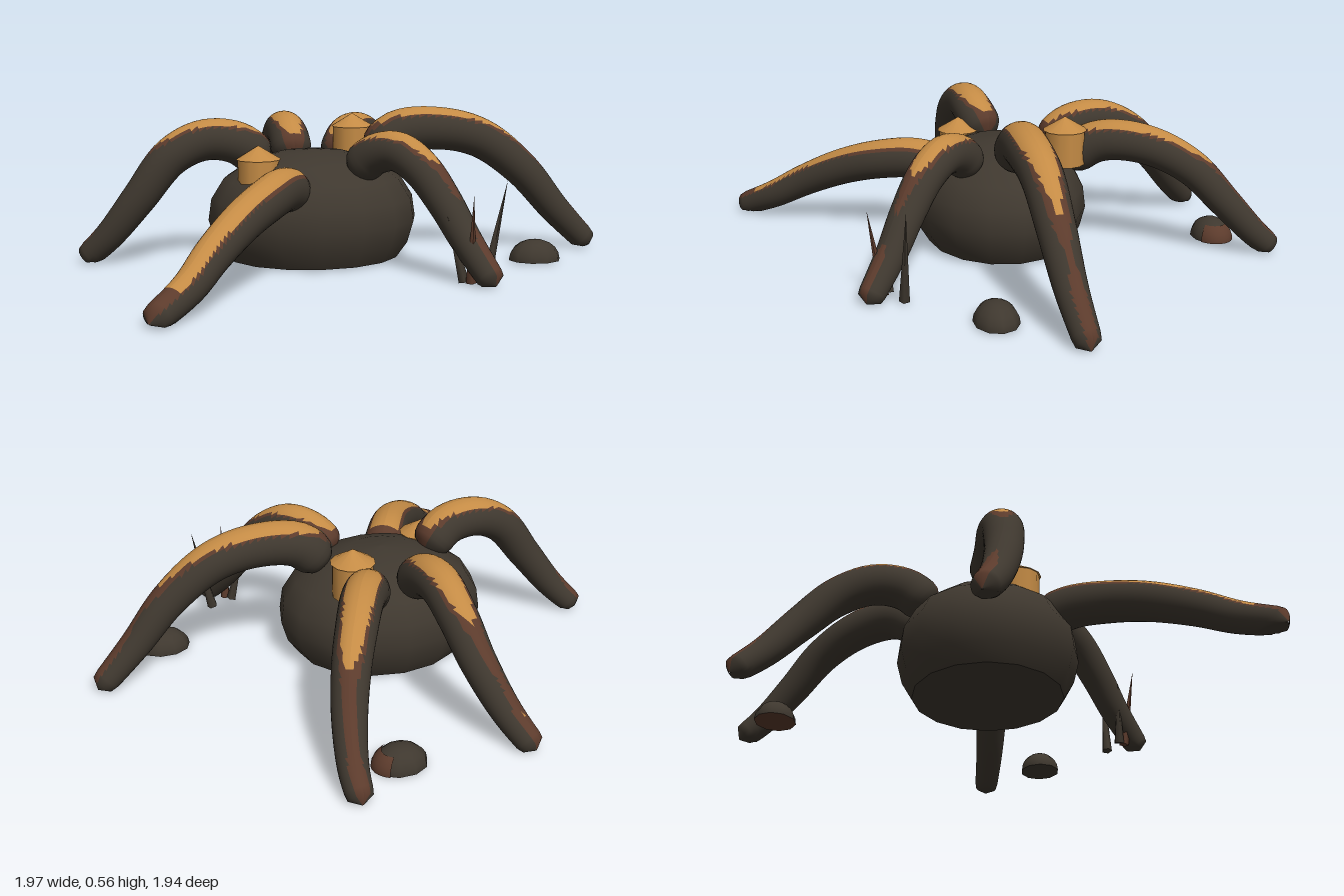
import * as THREE from 'three';

const mat = (name, color) => {
  const m = new THREE.MeshStandardMaterial({ color });
  m.name = name;
  return m;
};

// Quarter-circle falloff: 1 at u = 0, 0 at u = 1
const dome = u => Math.sqrt(1 - THREE.MathUtils.clamp(u, 0, 1) ** 2);

export function createModel() {
  const group = new THREE.Group();
  const dark = mat('darkStone', 0x3f382f);
  const brown = mat('rustBrown', 0x5c3b2c);
  const ochre = mat('ochre', 0xc48b45);

  const add = (name, geo, material, x = 0, y = 0, z = 0) => {
    const mesh = new THREE.Mesh(geo, material);
    mesh.name = name;
    mesh.position.set(x, y, z);
    group.add(mesh);
    return mesh;
  };

  // Squat body with a flat underside
  const profile = [[0.83, 0], [0.94, 0.06], [1, 0.14], [0.97, 0.22], [0.85, 0.295],
    [0.62, 0.355], [0.32, 0.39], [0, 0.4]].map(p => new THREE.Vector2(...p));
  add('body', new THREE.LatheGeometry(profile, 16), dark, -0.12, 0, 0).scale.set(0.39, 1, 0.33);
  add('bodyUnderside', new THREE.CircleGeometry(0.83, 16).rotateX(Math.PI / 2), dark, -0.12, 0, 0)
    .scale.set(0.39, 1, 0.33);

  // Arched leg: tapered tube, flattened on the ground, coloured by how far it faces up
  function leg(name, points, r0, r1, ochreLimit = 0.73, brownLimit = 0.62) {
    const curve = new THREE.CatmullRomCurve3(points.map(p => new THREE.Vector3(...p)));
    const N = 40, M = 32, pos = [], facing = [], lists = [[], [], []];
    for (let i = 0; i <= N; i++) {
      const t = i / N;
      const c = curve.getPointAt(t), T = curve.getTangentAt(t);
      const side = new THREE.Vector3().crossVectors(T, new THREE.Vector3(0, 1, 0)).normalize();
      const up = new THREE.Vector3().crossVectors(side, T);
      // Rounded root and foot; a small floor keeps the end rings from collapsing
      const r = Math.max(0.002, THREE.MathUtils.lerp(r0, r1, t ** 1.6) * dome(1 - t / 0.08) * dome((t - 0.96) / 0.04));
      for (let j = 0; j <= M; j++) {
        const a = (j / M) * Math.PI * 2;
        const d = up.clone().multiplyScalar(Math.cos(a)).addScaledVector(side, Math.sin(a));
        const p = c.clone().addScaledVector(d, r);
        pos.push(p.x, Math.max(0, p.y), p.z);
        facing.push(d.y);
      }
    }
    for (let i = 0; i < N; i++) {
      for (let j = 0; j < M; j++) {
        const a = i * (M + 1) + j, b = a + 1, c = a + M + 1, d = c + 1;
        const t = i / N;
        for (const tri of [[a, b, c], [b, d, c]]) {
          const ny = tri.reduce((s, k) => s + facing[k], 0) / 3;
          const k = ny > ochreLimit && t > 0.06 && t < 0.86 ? 2 : ny > brownLimit ? 1 : 0;
          lists[k].push(...tri);
        }
      }
    }
    const geo = new THREE.BufferGeometry();
    geo.setAttribute('position', new THREE.Float32BufferAttribute(pos, 3));
    geo.setIndex(lists.flat());
    let start = 0;
    lists.forEach((l, k) => { geo.addGroup(start, l.length, k); start += l.length; });
    geo.computeVertexNormals();
    add(name, geo, [dark, brown, ochre]);
  }

  leg('leftLeg', [[0.1, 0.36, 0], [0.2, 0.455, 0], [0.36, 0.47, 0.01], [0.52, 0.43, 0.01],
    [0.68, 0.31, 0.01], [0.82, 0.15, 0], [0.97, 0, -0.02]], 0.085, 0.045);
  leg('rightLeg', [[-0.3, 0.35, 0], [-0.4, 0.43, 0.03], [-0.52, 0.445, 0.04], [-0.64, 0.39, 0.055],
    [-0.76, 0.24, 0.055], [-0.87, 0.1, 0.03], [-0.97, 0, -0.01]], 0.08, 0.045);
  leg('backRightLeg', [[-0.17, 0.33, -0.2], [-0.18, 0.41, -0.3], [-0.19, 0.425, -0.42], [-0.2, 0.37, -0.55],
    [-0.23, 0.25, -0.67], [-0.29, 0.11, -0.78], [-0.36, 0, -0.88]], 0.08, 0.045);
  leg('backLeftLeg', [[0, 0.32, -0.22], [0.05, 0.4, -0.33], [0.1, 0.415, -0.42], [0.16, 0.39, -0.54],
    [0.22, 0.32, -0.66], [0.265, 0.2, -0.77], [0.29, 0.08, -0.88], [0.29, 0, -0.97]], 0.08, 0.045);
  leg('frontLeftLeg', [[0.02, 0.33, 0.14], [0.08, 0.4, 0.2], [0.15, 0.42, 0.27], [0.22, 0.37, 0.35],
    [0.29, 0.26, 0.43], [0.35, 0.14, 0.5], [0.43, 0, 0.6]], 0.075, 0.045);
  leg('frontRightLeg', [[-0.2, 0.27, 0.19], [-0.26, 0.295, 0.3], [-0.33, 0.28, 0.43], [-0.42, 0.235, 0.56],
    [-0.52, 0.16, 0.7], [-0.6, 0.085, 0.82], [-0.72, 0.01, 0.95]], 0.08, 0.045, 0.68, 0.58);

  // Two short capped chimneys on the body
  for (const [x, y, z] of [[0.06, 0.33, -0.21], [-0.33, 0.25, 0.11]]) {
    add('chimney', new THREE.CylinderGeometry(0.075, 0.075, 0.13, 12), ochre, x, y + 0.065, z);
    add('chimneyCap', new THREE.ConeGeometry(0.082, 0.05, 12), ochre, x, y + 0.155, z);
  }

  // Half-round rocks with flat undersides
  for (const [x, z, under] of [[0.68, 0.21, dark], [0.1, -0.8, brown]]) {
    add('rock', new THREE.SphereGeometry(1, 10, 5, 0, Math.PI * 2, 0, Math.PI / 2), dark, x, 0, z)
      .scale.set(0.097, 0.076, 0.078);
    add('rockUnderside', new THREE.CircleGeometry(1, 10).rotateX(Math.PI / 2), under, x, 0, z)
      .scale.set(0.097, 1, 0.078);
  }
  add('rockStain', new THREE.SphereGeometry(1, 8, 4, Math.PI * 0.7, Math.PI * 0.6, Math.PI * 0.22, Math.PI * 0.28),
    brown, 0.1, 0, -0.8).scale.set(0.099, 0.078, 0.08);

  // Thin leaning spikes beside the front left leg
  const spikes = [[[0.43, 0, 0.47], [0.5, 0.34, 0.47], dark], [[0.36, 0, 0.53], [0.355, 0.31, 0.58], brown],
    [[0.34, 0, 0.51], [0.28, 0.23, 0.51], dark]];
  for (const [from, to, material] of spikes) {
    const dir = new THREE.Vector3(...to).sub(new THREE.Vector3(...from)), h = dir.length();
    const spike = add('spike', new THREE.ConeGeometry(0.02, h, 5).translate(0, h / 2, 0), material, ...from);
    spike.quaternion.setFromUnitVectors(new THREE.Vector3(0, 1, 0), dir.normalize());
  }
  return group;
}
